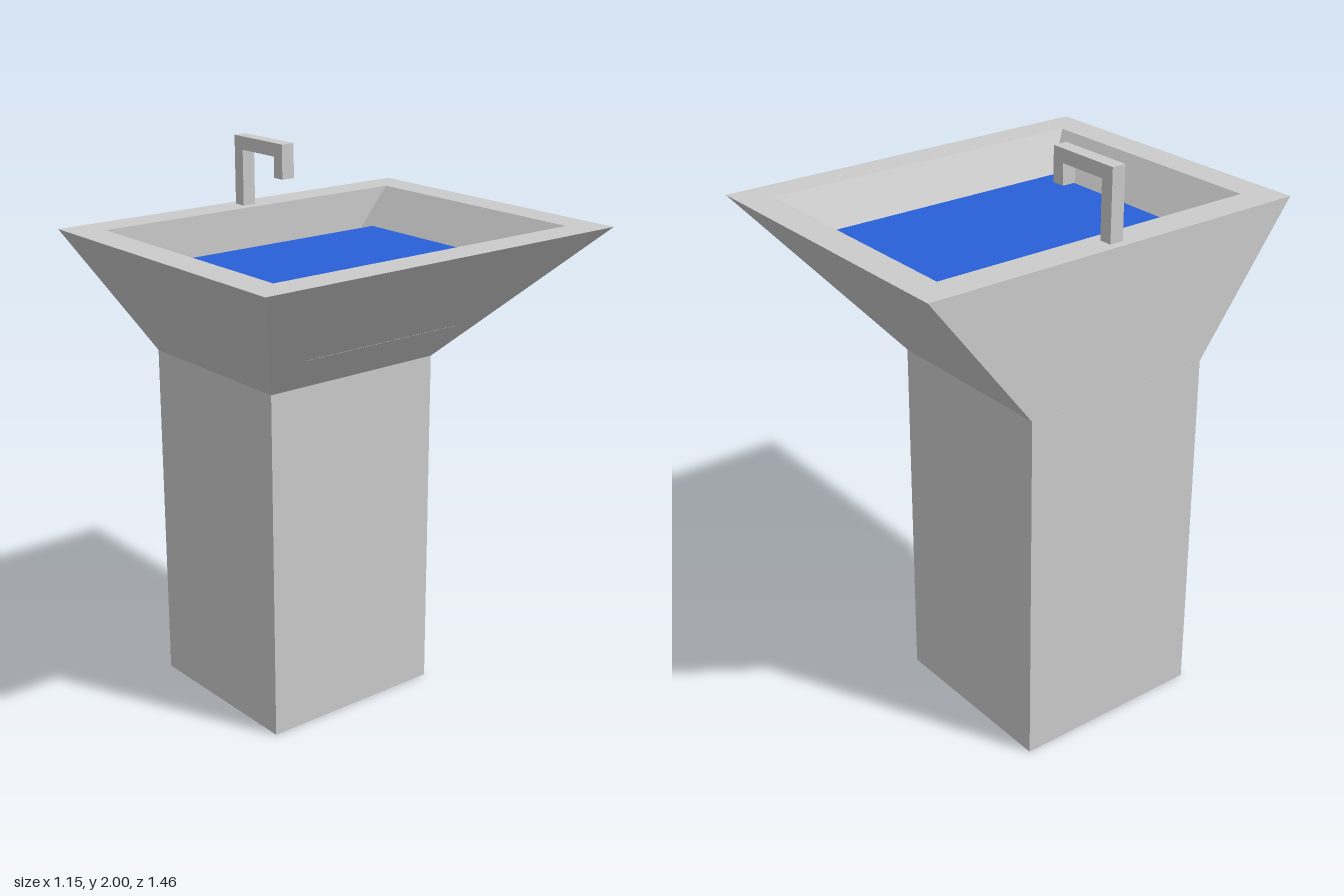
import * as THREE from 'three';

const grey = new THREE.MeshStandardMaterial({ color: 0xcccccc, flatShading: true });
const blue = new THREE.MeshStandardMaterial({ color: 0x2860d8, side: THREE.DoubleSide });

// Corners of a horizontal rectangle, counter-clockwise seen from above
const ring = (x0, x1, z0, z1, y) => [[x0, y, z0], [x0, y, z1], [x1, y, z1], [x1, y, z0]];

// Joins successive four-cornered rings with flat quads and closes the last one
function loft(rings) {
  const pos = [];
  const quad = (a, b, c, d) => pos.push(...a, ...b, ...c, ...a, ...c, ...d);
  for (let r = 0; r < rings.length - 1; r++) {
    for (let i = 0; i < 4; i++) {
      const j = (i + 1) % 4;
      quad(rings[r][i], rings[r][j], rings[r + 1][j], rings[r + 1][i]);
    }
  }
  quad(...rings[rings.length - 1]);
  const geo = new THREE.BufferGeometry();
  geo.setAttribute('position', new THREE.Float32BufferAttribute(pos, 3));
  geo.computeVertexNormals();
  return geo;
}

export function createModel() {
  const group = new THREE.Group();
  const add = (name, geo, mat = grey) => {
    const mesh = new THREE.Mesh(geo, mat);
    mesh.name = name;
    group.add(mesh);
    return mesh;
  };

  // Square column, flush with the straight side of the basin
  add('pedestal', new THREE.BoxGeometry(0.667, 1.265, 0.706))
    .position.set(-0.242, 0.6325, 0);

  // Flared basin: outer walls, flat rim, sloping inner walls and floor
  add('basin', loft([
    ring(-0.575, 0.092, -0.353, 0.353, 1.265),
    ring(-0.575, 0.573, -0.728, 0.728, 1.755),
    ring(-0.46, 0.46, -0.615, 0.615, 1.755),
    ring(-0.46, 0.236, -0.325, 0.325, 1.41),
  ]));

  // Water surface, stopping short of the upright inner wall
  add('water', new THREE.PlaneGeometry(0.78, 1.005).rotateX(-Math.PI / 2), blue)
    .position.set(-0.017, 1.625, -0.002);

  // Hooked tap of square section standing on the rim
  const outline = [[-0.545, 1.755], [-0.498, 1.755], [-0.498, 1.953], [-0.316, 1.953],
    [-0.316, 1.88], [-0.27, 1.88], [-0.27, 2], [-0.545, 2]];
  const shape = new THREE.Shape(outline.map(([x, y]) => new THREE.Vector2(x, y)));
  add('tap', new THREE.ExtrudeGeometry(shape, { depth: 0.05, bevelEnabled: false }))
    .position.z = -0.029;

  return group;
}
